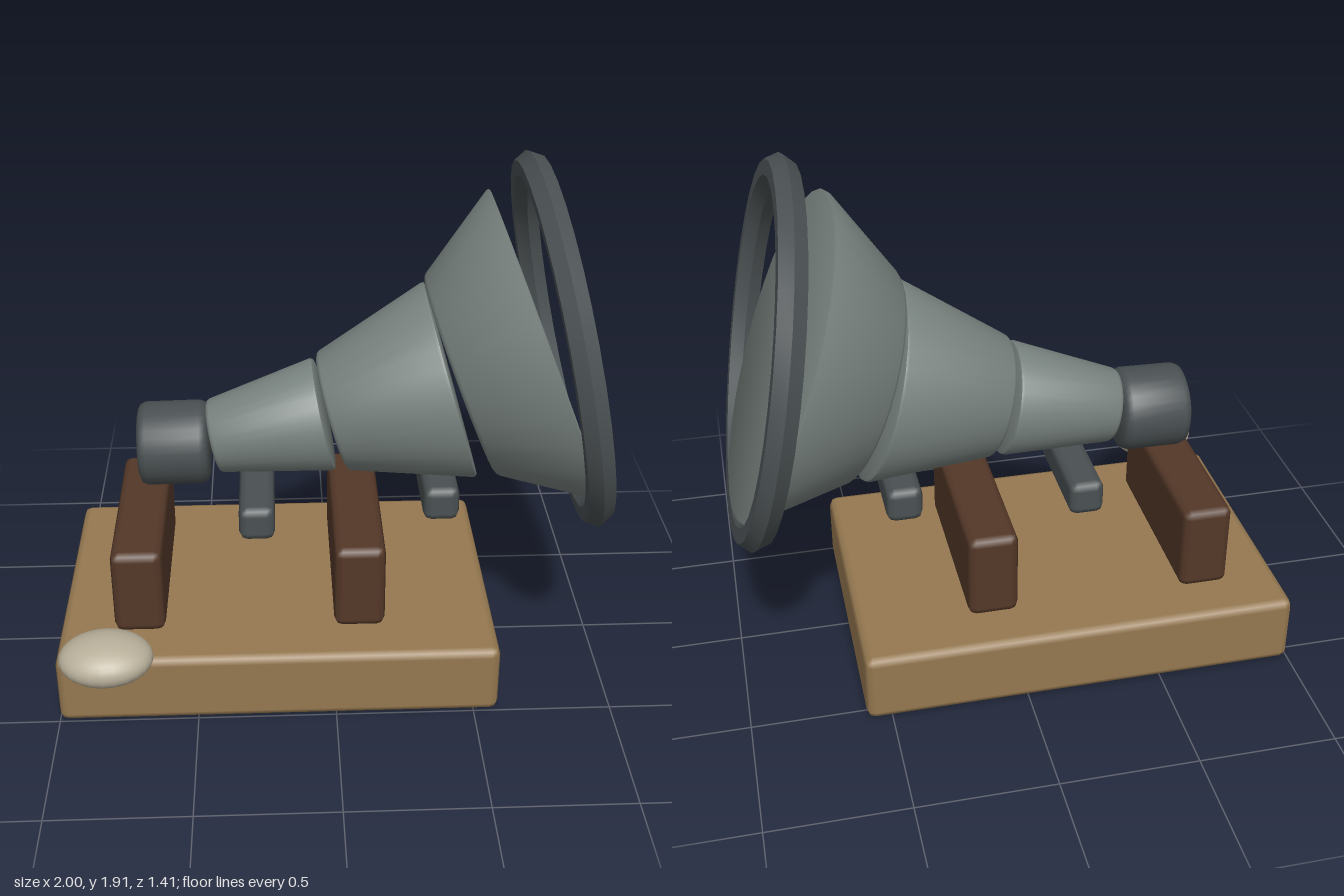
import * as THREE from 'three';
import { toCreasedNormals } from 'three/addons/utils/BufferGeometryUtils.js';
import { RoundedBoxGeometry } from 'three/addons/geometries/RoundedBoxGeometry.js';

const Z = -0.028; // centre plane of the cannon and its bed

function material(name, color) {
  const m = new THREE.MeshStandardMaterial({ color });
  m.name = name;
  return m;
}

export function createModel() {
  const wood = material('lightWood', 0x957850);
  const darkWood = material('darkWood', 0x543828);
  const steel = material('greySteel', 0x78827e);
  const darkSteel = material('darkSteel', 0x4a5052);
  const stone = material('paleStone', 0xb8af9a);

  const model = new THREE.Group();
  model.name = 'bombard';

  function add(name, geometry, mat, x, y, z = Z) {
    const mesh = new THREE.Mesh(geometry, mat);
    mesh.name = name;
    mesh.position.set(x, y, z);
    model.add(mesh);
    return mesh;
  }

  // Box with chamfered edges
  function block(name, mat, [w, h, d], bevel, x, y) {
    return add(name, new RoundedBoxGeometry(w, h, d, 1, bevel), mat, x, y);
  }

  // Solid tapered section between the centres of its two ends, softened at the rims
  function section(name, mat, a, b, r0, r1, tilt, bevel) {
    const len = Math.hypot(b[0] - a[0], b[1] - a[1]);
    const s = (r1 - r0) / len;
    const c = bevel * 0.3;
    const points = [
      [0, 0], [r0 - bevel, 0], [r0 - c + s * c, c], [r0 + s * bevel, bevel],
      [r1 - s * bevel, len - bevel], [r1 - c - s * c, len - c], [r1 - bevel, len], [0, len],
    ].map(([x, y]) => new THREE.Vector2(x, y - len / 2));
    const geometry = toCreasedNormals(new THREE.LatheGeometry(points, 32), 0.8);
    const mesh = add(name, geometry, mat, (a[0] + b[0]) / 2, (a[1] + b[1]) / 2);
    mesh.rotation.z = THREE.MathUtils.degToRad(tilt - 90);
    return mesh;
  }

  // Bed and cross supports
  block('bed', wood, [1.59, 0.265, 1.06], 0.03, -0.205, 0.1325);
  block('rearSupport', darkWood, [0.185, 0.33, 0.725], 0.03, -0.707, 0.43);
  block('frontSupport', darkWood, [0.185, 0.33, 0.725], 0.03, 0.092, 0.43);

  // Iron cross bars under the barrel
  block('rearBar', darkSteel, [0.13, 0.13, 0.525], 0.03, -0.275, 0.645);
  block('frontBar', darkSteel, [0.13, 0.13, 0.525], 0.03, 0.388, 0.713);

  // Barrel, widening and tilting up towards the muzzle
  section('breech', darkSteel, [-0.7, 0.851], [-0.445, 0.855], 0.153, 0.154, 1, 0.03);
  section('barrelRear', steel, [-0.43, 0.875], [-0.0225, 0.96], 0.135, 0.211, 11.7, 0.014);
  section('barrelMiddle', steel, [0.005, 0.97], [0.435, 1.09], 0.222, 0.368, 16, 0.014);
  section('barrelBell', steel, [0.466, 1.107], [0.773, 1.223], 0.38, 0.596, 21.5, 0.014);

  // Muzzle ring with a six-sided section
  const ring = toCreasedNormals(new THREE.TorusGeometry(0.628, 0.053, 6, 32).rotateY(Math.PI / 2), 0.5);
  add('muzzleRing', ring, darkSteel, 0.822, 1.242).rotation.z = THREE.MathUtils.degToRad(11.3);

  // Flattened stone shot beside the bed
  add('stoneShot', new THREE.SphereGeometry(1, 24, 16), stone, -0.805, 0.335, 0.57).scale.set(0.165, 0.081, 0.133);

  return model;
}
